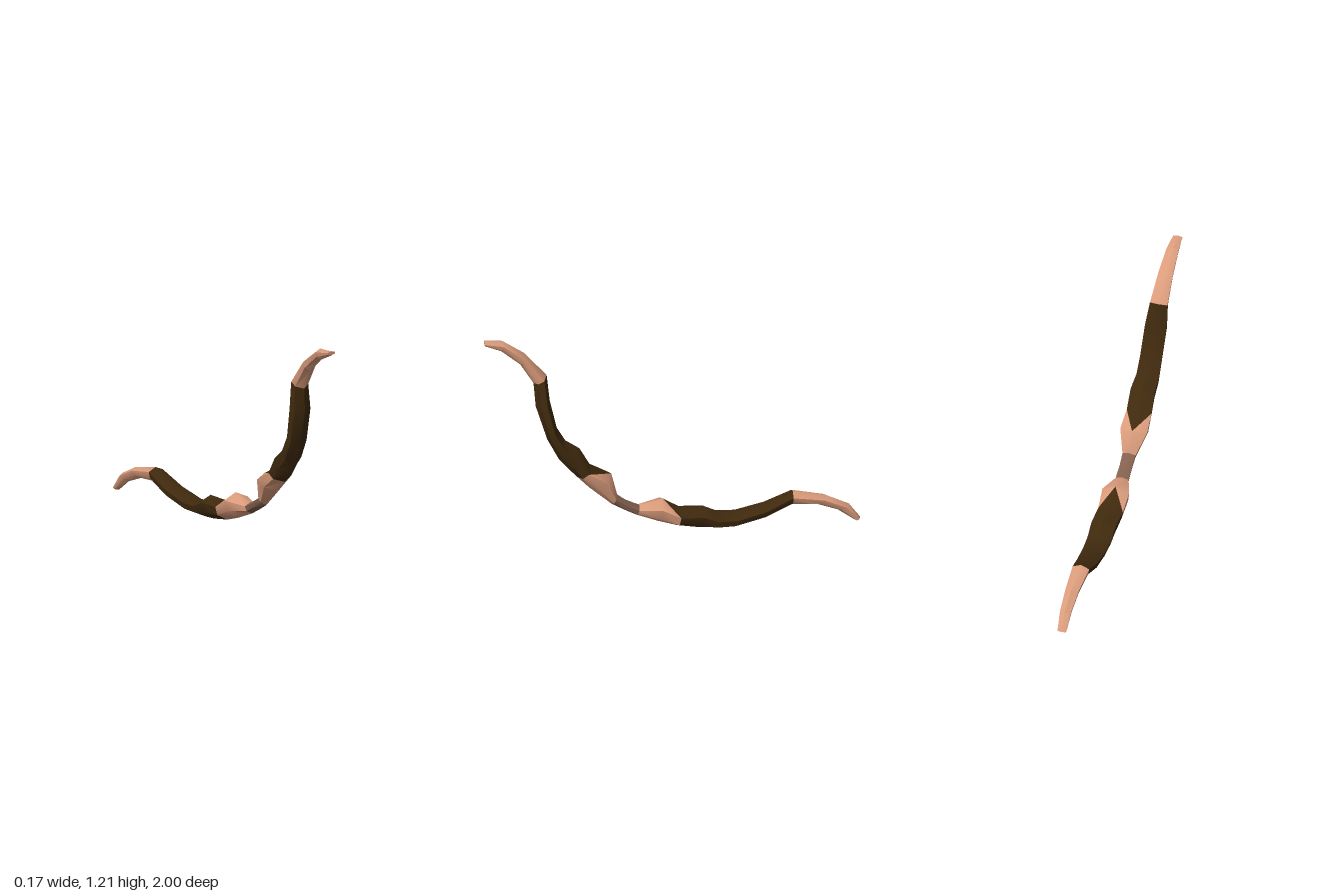
import * as THREE from 'three';
import { toCreasedNormals } from 'three/addons/utils/BufferGeometryUtils.js';

const SIDES = 6;

// Stations along the bow: inner z, inner y, outer z, outer y, centre x, half width
const upperLimb = [
  [1.0, 1.21, 1.0, 1.188, -0.05, 0.026],
  [0.9, 1.205, 0.91, 1.145, -0.05, 0.033],
  [0.79, 1.13, 0.81, 1.06, -0.045, 0.04],
  [0.67, 0.99, 0.74, 0.945, -0.037, 0.048],
  [0.655, 0.84, 0.73, 0.81, -0.025, 0.06],
  [0.62, 0.68, 0.67, 0.61, -0.012, 0.06],
  [0.575, 0.6, 0.61, 0.49, -0.008, 0.062],
  [0.5, 0.55, 0.56, 0.43, 0, 0.066],
  [0.44, 0.44, 0.51, 0.375, 0.002, 0.068],
  [0.33, 0.385, 0.45, 0.31, 0.003, 0.074],
];
const grip = [
  [0.3, 0.26, 0.33, 0.205, 0.013, 0.036],
  [0.25, 0.22, 0.26, 0.163, 0.014, 0.034],
  [0.18, 0.185, 0.2, 0.13, 0.014, 0.036],
];
const lowerLimb = [
  [0.055, 0.215, 0.08, 0.08, 0.012, 0.074],
  [-0.04, 0.15, -0.02, 0.047, 0.012, 0.068],
  [-0.17, 0.15, -0.14, 0.026, 0.013, 0.067],
  [-0.24, 0.105, -0.22, 0.021, 0.012, 0.065],
  [-0.34, 0.1, -0.32, 0.022, 0.01, 0.062],
  [-0.49, 0.135, -0.49, 0.06, 0.003, 0.057],
  [-0.64, 0.2, -0.635, 0.12, -0.005, 0.046],
  [-0.82, 0.16, -0.77, 0.11, -0.005, 0.036],
  [-0.94, 0.1, -0.88, 0.068, -0.005, 0.03],
  [-1.0, 0.015, -0.97, 0.0, -0.005, 0.024],
];
const stations = [...upperLimb, ...grip, ...lowerLimb];

// Section corners: [side, position from outer (0) to inner (1)]
const section = [[0, 1], [1, 0.75], [0.88, 0.32], [0, 0], [-0.88, 0.32], [-1, 0.75]];

const positions = stations.flatMap(([iz, iy, oz, oy, cx, w]) =>
  section.flatMap(([s, t]) => [
    cx + s * w,
    oy + (iy - oy) * t,
    oz + (iz - oz) * t,
  ]));

// Corners of the quad on side j between stations i and i + 1
function quad(i, j) {
  const k = (j + 1) % SIDES;
  return [i * SIDES + j, i * SIDES + k, (i + 1) * SIDES + k, (i + 1) * SIDES + j];
}

function span(from, to, skipInner = false) {
  const index = [];
  for (let i = from; i < to; i++) {
    for (let j = 0; j < SIDES; j++) {
      if (skipInner && (j === 0 || j === SIDES - 1)) continue;
      const [a, b, c, d] = quad(i, j);
      index.push(a, b, c, a, c, d);
    }
  }
  return index;
}

function cap(i, flip) {
  const index = [];
  for (let j = 1; j < SIDES - 1; j++) {
    const o = i * SIDES;
    index.push(o, ...(flip ? [o + j + 1, o + j] : [o + j, o + j + 1]));
  }
  return index;
}

// Inner facets beside each hump are cut diagonally so the dark wrap ends in a point
function wedge(i, darkFirst) {
  const [a, b, c, d] = quad(i, 0);
  const [e, f, g, h] = quad(i, SIDES - 1);
  return darkFirst
    ? { dark: [a, b, d, e, f, g], light: [b, c, d, e, g, h] }
    : { dark: [a, c, d, f, g, h], light: [a, b, c, e, f, h] };
}

function part(name, index, material) {
  const g = new THREE.BufferGeometry();
  g.setAttribute('position', new THREE.Float32BufferAttribute(positions, 3));
  g.setIndex(index);
  const mesh = new THREE.Mesh(toCreasedNormals(g, 0.85), material);
  mesh.name = name;
  return mesh;
}

export function createModel() {
  const wood = new THREE.MeshStandardMaterial({ name: 'paleWood', color: 0xdb9c7c });
  const wrap = new THREE.MeshStandardMaterial({ name: 'darkWrap', color: 0x402a0e });
  const leather = new THREE.MeshStandardMaterial({ name: 'gripBrown', color: 0x83604f });

  const up = wedge(8, true);
  const low = wedge(13, false);
  const last = stations.length - 1;

  const bow = new THREE.Group();
  bow.name = 'bow';
  bow.add(
    part('upperTip', [...cap(0, true), ...span(0, 3)], wood),
    part('upperLimbWrap', [...span(3, 8), ...up.dark], wrap),
    part('upperShoulder', [...span(8, 9, true), ...up.light, ...span(9, 10)], wood),
    part('grip', span(10, 12), leather),
    part('lowerShoulder', [...span(12, 13), ...span(13, 14, true), ...low.light], wood),
    part('lowerLimbWrap', [...low.dark, ...span(14, 19)], wrap),
    part('lowerTip', [...span(19, last), ...cap(last, false)], wood),
  );
  return bow;
}
